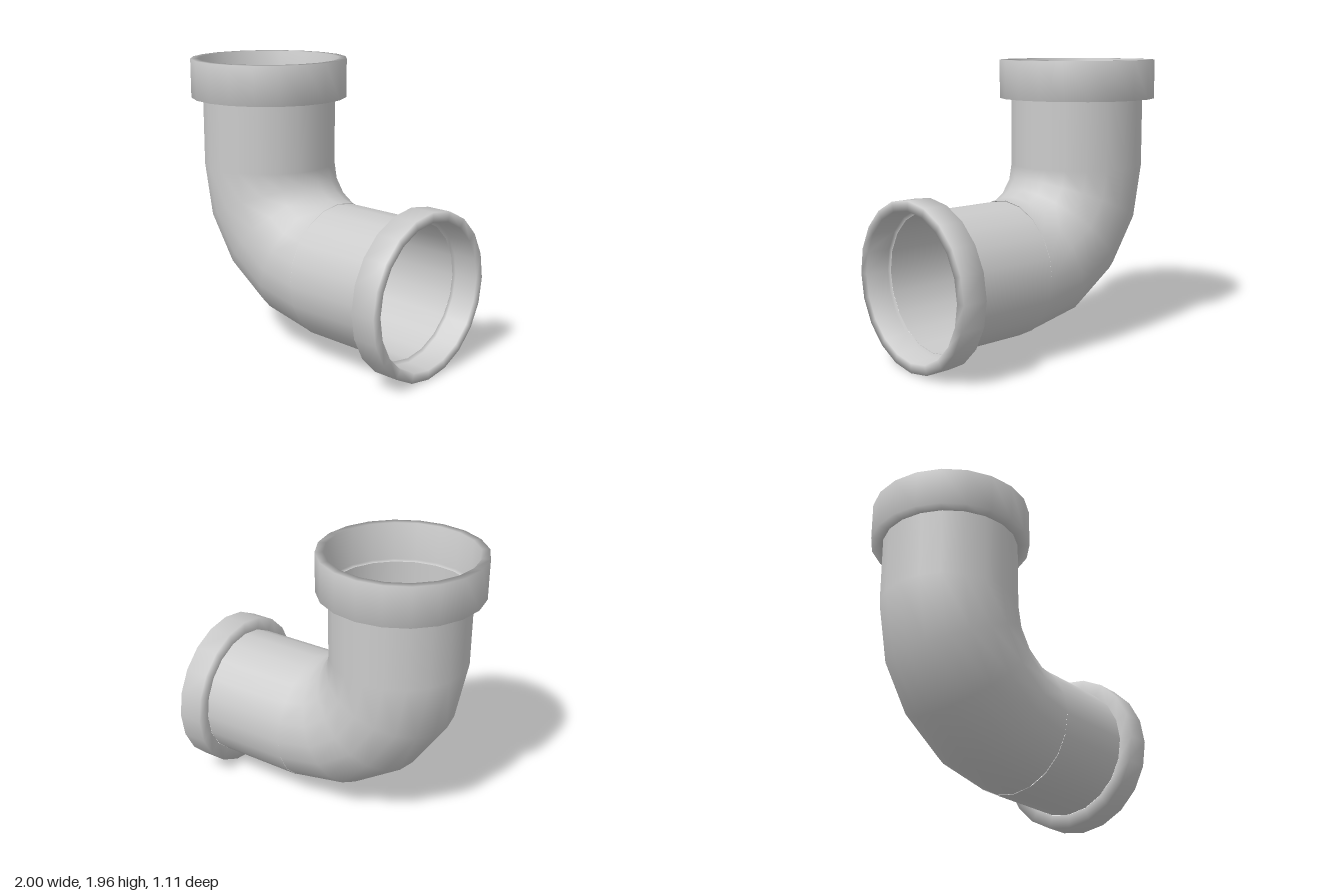
import * as THREE from 'three';

const SIDES = 20;
const PIPE_R = 0.462;
const AXIS_X = -0.458;   // axis of the upright pipe
const AXIS_Y = 0.558;    // axis of the level pipe
const BEND = { x: 0.205, y: 1.225 }; // centre of the elbow's curve

const material = new THREE.MeshStandardMaterial({ color: 0xcccccc, side: THREE.DoubleSide });

function part(name, geometry, x, y, rotZ = 0) {
  const mesh = new THREE.Mesh(geometry, material);
  mesh.name = name;
  mesh.position.set(x, y, 0);
  mesh.rotation.z = rotZ;
  return mesh;
}

// Open thin-walled straight pipe
function pipe(length) {
  return new THREE.CylinderGeometry(PIPE_R, PIPE_R, length, SIDES, 1, true);
}

// Socket collar: back shoulder, outer wall, lip, socket wall and inner step
function collar(radius, length) {
  const profile = [
    [PIPE_R, 0], [radius, 0], [radius, length], [0.49, length], [0.485, 0.01], [PIPE_R, 0],
  ].map(([r, y]) => new THREE.Vector2(r, y));
  return new THREE.LatheGeometry(profile, SIDES);
}

export function createModel() {
  const model = new THREE.Group();
  model.name = 'pipeElbow';

  const top = 1.955, topBase = 1.69;
  const end = 1.0, endBase = 0.827;

  // Straight runs
  model.add(part('uprightPipe', pipe(topBase - BEND.y), AXIS_X, (topBase + BEND.y) / 2));
  model.add(part('levelPipe', pipe(endBase - BEND.x), (endBase + BEND.x) / 2, AXIS_Y, -Math.PI / 2));

  // Quarter-turn bend in four segments
  const bend = new THREE.TorusGeometry(BEND.x - AXIS_X, PIPE_R, SIDES, 4, Math.PI / 2);
  model.add(part('bend', bend, BEND.x, BEND.y, Math.PI));

  // Collars at both openings
  model.add(part('topCollar', collar(0.543, top - topBase), AXIS_X, topBase));
  model.add(part('endCollar', collar(0.556, end - endBase), endBase, 0.556, -Math.PI / 2));

  return model;
}
